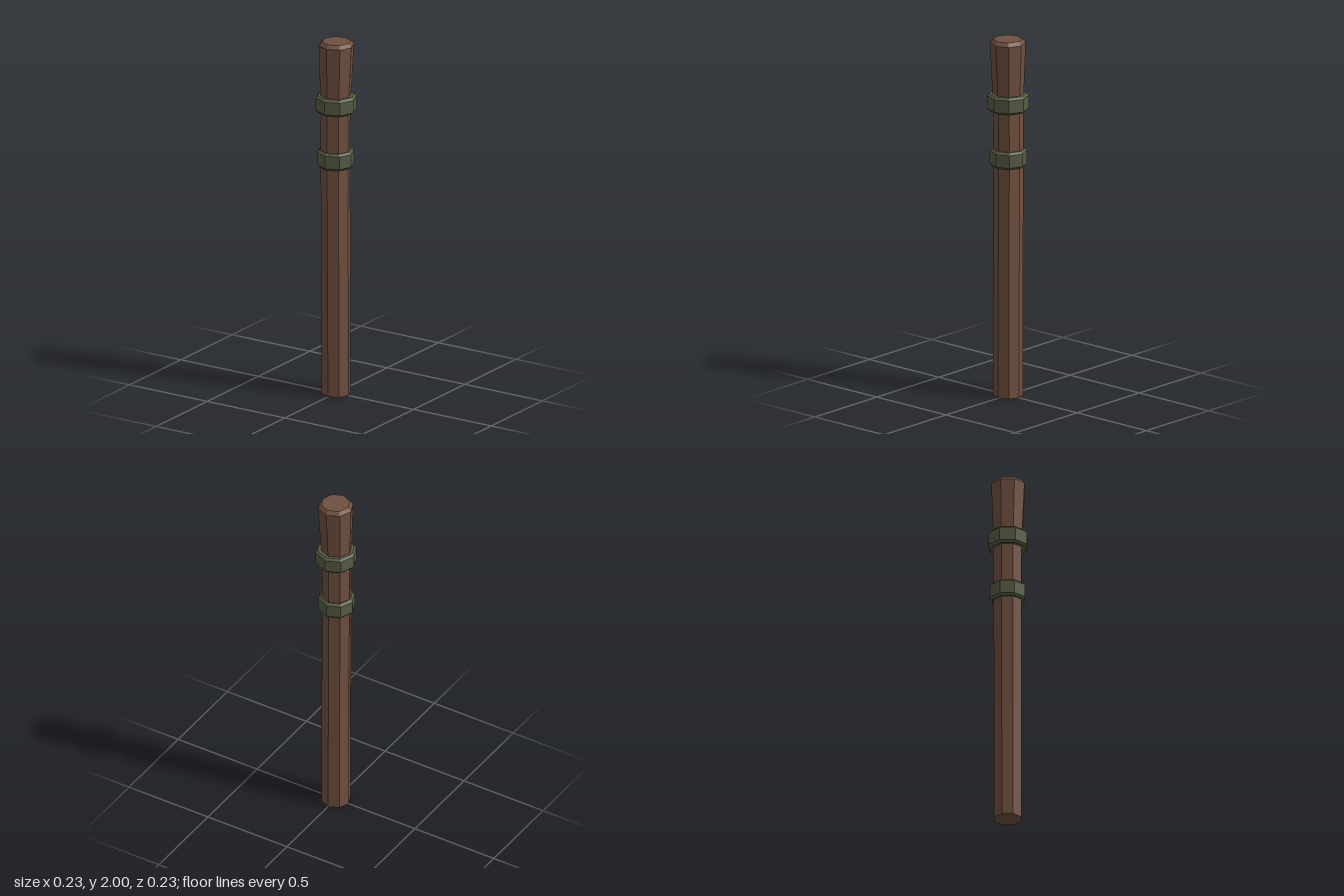
import * as THREE from 'three';

const wood = new THREE.MeshStandardMaterial({ color: 0x70503f, flatShading: true });
const wrap = new THREE.MeshStandardMaterial({ color: 0x565c45, flatShading: true });

// Eight-sided turned part from [radius, y, sideways shift] rings, listed bottom to top.
function turned(name, rings, material) {
  const geometry = new THREE.LatheGeometry(rings.map(([r, y]) => new THREE.Vector2(r, y)), 8);
  const pos = geometry.attributes.position;
  for (let i = 0; i < pos.count; i++) {
    pos.setX(i, pos.getX(i) + (rings[i % rings.length][2] ?? 0));
  }
  const mesh = new THREE.Mesh(geometry, material);
  mesh.name = name;
  return mesh;
}

// Raised band with bevelled rims.
function band(name, y, height, radius, shift) {
  const h = height / 2, bevel = 0.012;
  return turned(name, [
    [0.07, y - h, shift],
    [radius - bevel, y - h, shift],
    [radius, y - h + bevel, shift],
    [radius, y + h - bevel, shift],
    [radius - bevel, y + h, shift],
    [0.07, y + h, shift],
  ], wrap);
}

export function createModel() {
  const group = new THREE.Group();
  group.name = 'post';

  // Slightly leaning shaft that flares to a bevelled head
  group.add(turned('shaft', [
    [0, 0],
    [0.08, 0],
    [0.08, 0.65, -0.001],
    [0.081, 1.3, -0.004],
    [0.081, 1.62, -0.003],
    [0.097, 1.98, 0.002],
    [0.079, 2, 0.002],
    [0, 2, 0.002],
  ], wood));

  group.add(band('lowerBand', 1.337, 0.095, 0.101, -0.003));
  group.add(band('upperBand', 1.648, 0.095, 0.113, 0));
  return group;
}
